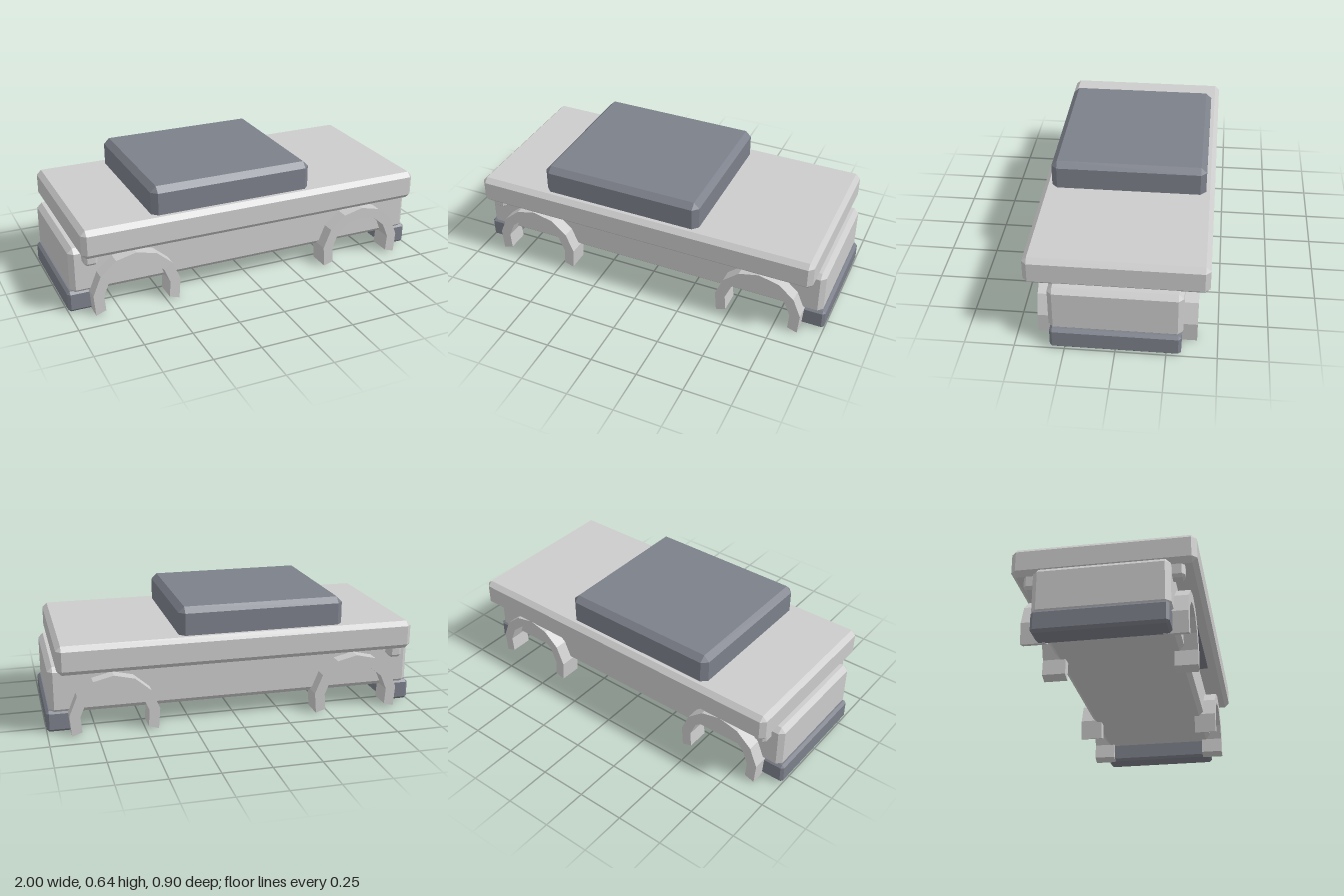
import * as THREE from 'three';
import { ConvexGeometry } from 'three/addons/geometries/ConvexGeometry.js';

const grey = new THREE.MeshStandardMaterial({ color: 0xcccccc, flatShading: true });
const dark = new THREE.MeshStandardMaterial({ color: 0x7c808a, flatShading: true });

// Box with every edge chamfered by c, given its minimum and maximum corners
function chamferBox(name, min, max, c, material) {
  const half = max.map((v, i) => (v - min[i]) / 2);
  const points = [];
  for (const sx of [-1, 1]) for (const sy of [-1, 1]) for (const sz of [-1, 1]) {
    for (let full = 0; full < 3; full++) {
      const p = [sx, sy, sz].map((s, i) => s * (half[i] - (i === full ? 0 : c)));
      points.push(new THREE.Vector3(...p));
    }
  }
  const mesh = new THREE.Mesh(new ConvexGeometry(points), material);
  mesh.position.set(...max.map((v, i) => (v + min[i]) / 2));
  mesh.name = name;
  return mesh;
}

// Low-poly arch: a ring sector of eight 27 degree segments, with feet below its centre
function archGeometry(outer, inner, depth) {
  const segments = 8, step = THREE.MathUtils.degToRad(27), start = -step * 2 / 3;
  const at = (r, i) => new THREE.Vector2(
    r * Math.cos(start + i * step), r * Math.sin(start + i * step));
  const outline = [];
  for (let i = 0; i <= segments; i++) outline.push(at(outer, i));
  for (let i = segments; i >= 0; i--) outline.push(at(inner, i));
  return new THREE.ExtrudeGeometry(new THREE.Shape(outline), { depth, bevelEnabled: false });
}

export function createModel() {
  const model = new THREE.Group();
  model.name = 'vehicle';

  // Stacked body volumes
  model.add(chamferBox('lowerBody', [-0.983, 0.1, -0.329], [0.983, 0.35, 0.329], 0.025, grey));
  model.add(chamferBox('upperBody', [-0.944, 0.34, -0.45], [0.944, 0.492, 0.45], 0.025, grey));
  model.add(chamferBox('cabin', [-0.565, 0.337, -0.405], [0.316, 0.638, 0.405], 0.03, dark));

  // Bumpers at both ends
  for (const s of [-1, 1]) {
    const x = [s, s * 0.86].sort((a, b) => a - b);
    model.add(chamferBox(s > 0 ? 'leftBumper' : 'rightBumper',
      [x[0], 0.002, -0.323], [x[1], 0.115, 0.323], 0.014, dark));
  }

  // Wheel arches and small side fittings on both long sides
  const arch = archGeometry(0.236, 0.18, 0.12);
  for (const s of [-1, 1]) {
    for (const x of [-0.656, 0.656]) {
      const mesh = new THREE.Mesh(arch, grey);
      mesh.position.set(x, 0.073, s > 0 ? 0.278 : -0.398);
      mesh.name = 'wheelArch';
      model.add(mesh);
    }
    const z = [s * 0.31, s * 0.389].sort((a, b) => a - b);
    model.add(chamferBox('sideFitting', [-0.92, 0.275, z[0]], [-0.85, 0.36, z[1]], 0.014, grey));
  }
  return model;
}
